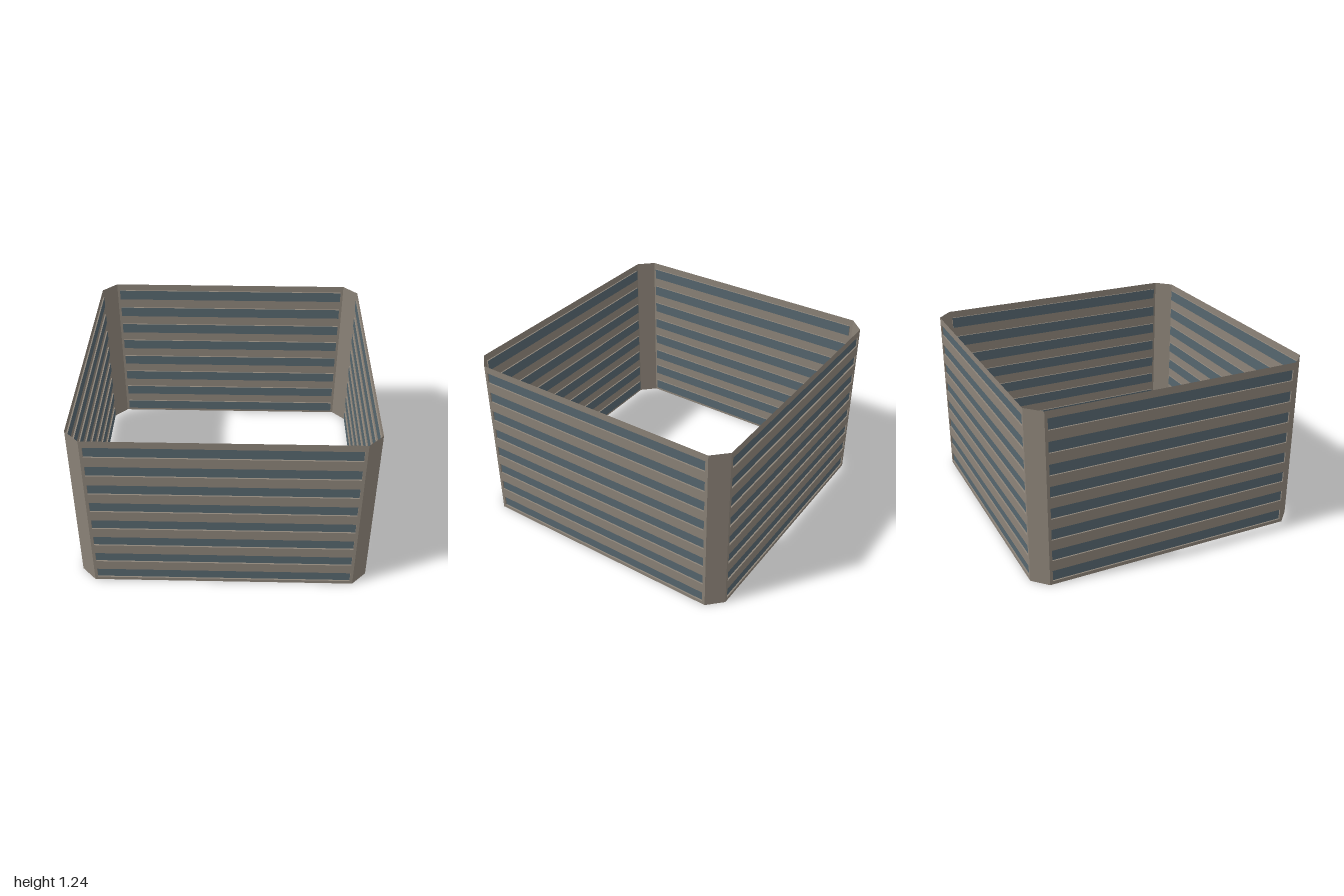
import * as THREE from 'three';
import { mergeGeometries } from 'three/addons/utils/BufferGeometryUtils.js';

const FLOORS = 8, HEIGHT = 1.24, STEP = HEIGHT / FLOORS;
const HALF = 0.9;        // half width of a flat wall, between the chamfers
const WIN = 0.88;        // half width of a window band
const SILL = 0.025, HEAD = 0.104, RECESS = 0.01;

const mat = (name, color) => {
  const m = new THREE.MeshStandardMaterial({ color, side: THREE.DoubleSide });
  m.name = name;
  return m;
};

const mesh = (name, geometry, material) => {
  const m = new THREE.Mesh(geometry, material);
  m.name = name;
  return m;
};

export function createModel() {
  const concrete = mat('taupe concrete', 0x8c8378);
  const glass = mat('blue grey glass', 0x56666e);

  // Wall sheet with one long opening per floor
  const outline = new THREE.Shape([
    new THREE.Vector2(-HALF, 0), new THREE.Vector2(HALF, 0),
    new THREE.Vector2(HALF, HEIGHT), new THREE.Vector2(-HALF, HEIGHT),
  ]);
  const panes = [], reveals = [];
  for (let i = 0; i < FLOORS; i++) {
    const y0 = i * STEP + SILL, y1 = i * STEP + HEAD, mid = (y0 + y1) / 2;
    outline.holes.push(new THREE.Path([
      new THREE.Vector2(-WIN, y0), new THREE.Vector2(-WIN, y1),
      new THREE.Vector2(WIN, y1), new THREE.Vector2(WIN, y0),
    ]));
    // Set-back glass
    panes.push(new THREE.PlaneGeometry(2 * WIN, y1 - y0).translate(0, mid, -RECESS));
    // Sill, head and jambs of the opening
    reveals.push(
      new THREE.PlaneGeometry(2 * WIN, RECESS).rotateX(-Math.PI / 2).translate(0, y0, -RECESS / 2),
      new THREE.PlaneGeometry(2 * WIN, RECESS).rotateX(Math.PI / 2).translate(0, y1, -RECESS / 2),
      new THREE.PlaneGeometry(RECESS, y1 - y0).rotateY(Math.PI / 2).translate(-WIN, mid, -RECESS / 2),
      new THREE.PlaneGeometry(RECESS, y1 - y0).rotateY(-Math.PI / 2).translate(WIN, mid, -RECESS / 2),
    );
  }
  const wallGeo = new THREE.ShapeGeometry(outline);
  const glassGeo = mergeGeometries(panes);
  const revealGeo = mergeGeometries(reveals);

  // Chamfered corner panel
  const chamfer = (1 - HALF) * Math.SQRT2;
  const cornerGeo = new THREE.PlaneGeometry(chamfer, HEIGHT)
    .translate(0, HEIGHT / 2, (1 + HALF) / Math.SQRT2)
    .rotateY(Math.PI / 4);

  // Four identical sides around an open core
  const model = new THREE.Group();
  model.name = 'buildingFacade';
  ['front', 'left', 'back', 'right'].forEach((side, i) => {
    const facade = new THREE.Group();
    facade.name = side + 'Facade';
    const parts = [
      mesh('wall', wallGeo, concrete),
      mesh('windowBands', glassGeo, glass),
      mesh('windowReveals', revealGeo, concrete),
    ];
    parts.forEach((p) => { p.position.z = 1; facade.add(p); });
    facade.add(mesh('cornerPanel', cornerGeo, concrete));
    facade.rotation.y = i * Math.PI / 2;
    model.add(facade);
  });
  return model;
}
